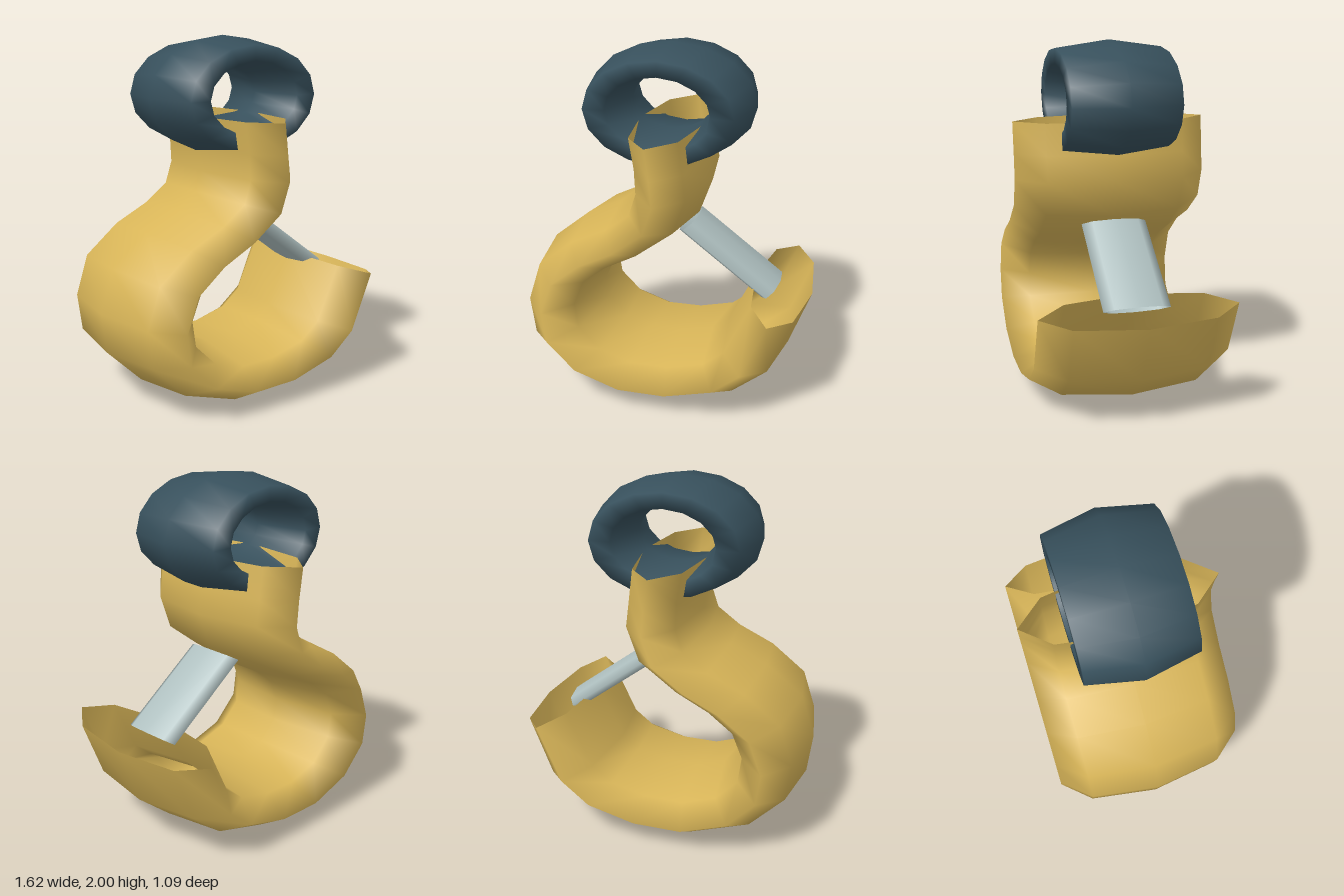
import * as THREE from 'three';

const gold = new THREE.MeshStandardMaterial({ color: 0xd8b558, side: THREE.DoubleSide });
gold.name = 'gold';
const slate = new THREE.MeshStandardMaterial({ color: 0x37505c });
slate.name = 'slate blue';
const steel = new THREE.MeshStandardMaterial({ color: 0xaebfbf, side: THREE.DoubleSide });
steel.name = 'pale steel';

// The whole fitting is squashed in height and widened in depth
const SY = 0.68, SZ = 2.81;

// Open tube whose rings span an outer and an inner edge point, stretched in z
function loftTube(rings, depth, sides) {
  const pos = [], index = [];
  for (const [lx, ly, rx, ry] of rings) {
    for (let j = 0; j < sides; j++) {
      const a = (j / sides) * Math.PI * 2, c = Math.cos(a) / 2;
      pos.push((lx + rx) / 2 + c * (rx - lx), (ly + ry) / 2 + c * (ry - ly), depth * Math.sin(a));
    }
  }
  for (let i = 0; i < rings.length - 1; i++) {
    for (let j = 0; j < sides; j++) {
      const a = i * sides + j, b = i * sides + (j + 1) % sides;
      index.push(a, b, a + sides, b, b + sides, a + sides);
    }
  }
  const geo = new THREE.BufferGeometry();
  geo.setAttribute('position', new THREE.Float32BufferAttribute(pos, 3));
  geo.setIndex(index);
  geo.computeVertexNormals();
  return geo;
}

function add(group, name, geo, mat) {
  const mesh = new THREE.Mesh(geo, mat);
  mesh.name = name;
  group.add(mesh);
}

export function createModel() {
  const group = new THREE.Group();
  group.name = 'hook';

  // Hook body from shank to tip: outer x, y and inner x, y of each ring
  const rings = [
    [-0.2, 1.57, 0.18, 1.57],
    [-0.17, 1.4, 0.2, 1.39],
    [-0.165, 1.26, 0.22, 1.245],
    [-0.2, 1.15, 0.145, 1.04],
    [-0.32, 1.06, -0.08, 0.87],
    [-0.53, 0.96, -0.255, 0.775],
    [-0.74, 0.79, -0.375, 0.68],
    [-0.815, 0.55, -0.43, 0.55],
    [-0.785, 0.325, -0.41, 0.42],
    [-0.575, 0.12, -0.3, 0.31],
    [-0.22, 0.005, -0.14, 0.26],
    [0.125, 0.01, 0.05, 0.265],
    [0.475, 0.11, 0.235, 0.31],
    [0.685, 0.28, 0.335, 0.39],
    [0.81, 0.61, 0.485, 0.695],
  ];
  add(group, 'hookBody', loftTube(rings, 0.545, 8), gold);

  // Hanging eye
  const eye = new THREE.TorusGeometry(0.352, 0.124, 6, 16);
  eye.scale(1, SY, SZ);
  eye.translate(-0.015, 1.68, 0);
  add(group, 'eyeRing', eye, slate);

  // Safety latch between throat and tip
  const top = new THREE.Vector3(0.098, 0.995 / SY, 0);
  const end = new THREE.Vector3(0.578, 0.637 / SY, 0);
  const dir = top.clone().sub(end);
  const latch = new THREE.CylinderGeometry(0.066, 0.066, dir.length(), 8, 1, true);
  latch.rotateZ(Math.atan2(-dir.x, dir.y));
  latch.translate((top.x + end.x) / 2, (top.y + end.y) / 2, 0);
  latch.scale(1, SY, SZ);
  add(group, 'latch', latch, steel);

  return group;
}
